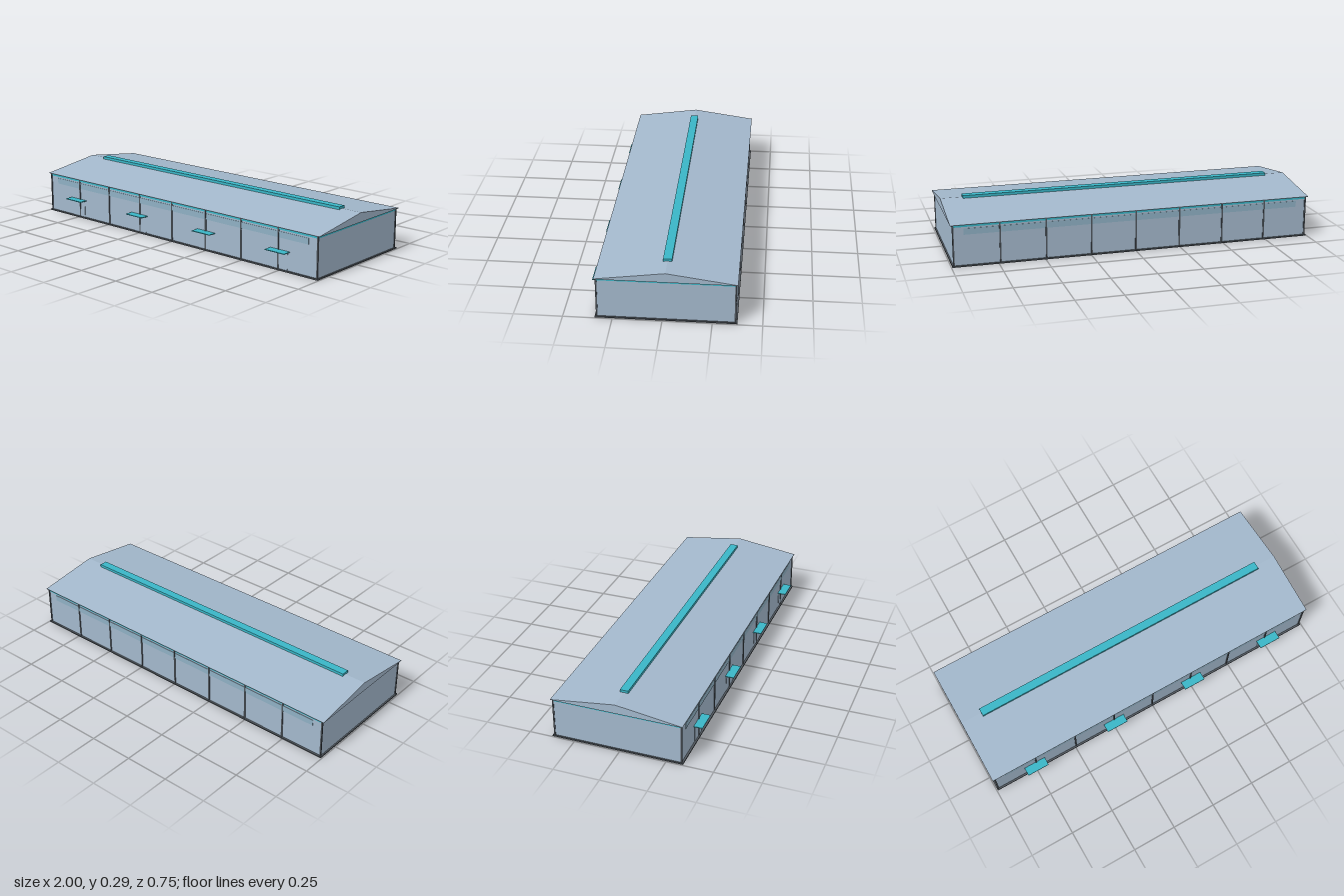
import * as THREE from 'three';

const material = (name, color) => {
  const m = new THREE.MeshStandardMaterial({ color });
  m.name = name;
  return m;
};

export function createModel() {
  const cladding = material('pale blue cladding', 0xa3b8cc);
  const teal = material('teal trim', 0x3ab5c6);
  const glass = material('tinted glazing', 0x8fb0c3);
  const steel = material('dark steel', 0x50575e);

  const model = new THREE.Group();
  model.name = 'longHall';
  const midZ = -0.018; // hall axis, set back to leave room for the canopies
  const halfX = 0.987, halfZ = 0.346;
  const eaveY = 0.226, ridgeY = 0.277;

  // Box given by its centre in x and z and its vertical range
  const box = (name, mat, w, d, y0, y1, x, z) => {
    const mesh = new THREE.Mesh(new THREE.BoxGeometry(w, y1 - y0, d), mat);
    mesh.name = name;
    mesh.position.set(x, (y0 + y1) / 2, z);
    model.add(mesh);
  };

  // Plinth and hall body
  box('plinth', steel, 1.99, 0.713, 0, 0.007, 0, midZ);
  box('walls', cladding, halfX * 2, halfZ * 2, 0.007, eaveY, 0, midZ);

  // Teal band below the eaves, on all four sides
  box('eaveTrim', teal, halfX * 2 + 0.004, halfZ * 2 + 0.004, 0.214, 0.2255, 0, midZ);

  // Gabled roof, extruded along x
  const gable = new THREE.Shape();
  gable.moveTo(-0.356, 0);
  gable.lineTo(0.356, 0);
  gable.lineTo(0.356, 0.002);
  gable.lineTo(0, ridgeY - eaveY);
  gable.lineTo(-0.356, 0.002);
  const roofGeometry = new THREE.ExtrudeGeometry(gable, { depth: 2, bevelEnabled: false });
  roofGeometry.translate(0, 0, -1);
  roofGeometry.rotateY(Math.PI / 2);
  const roof = new THREE.Mesh(roofGeometry, cladding);
  roof.name = 'roof';
  roof.position.set(0, eaveY, midZ);
  model.add(roof);

  // Ridge vent
  box('ridgeVent', teal, 1.76, 0.045, 0.272, 0.289, 0, midZ);

  // Long window strips and posts on both long sides
  for (const side of [1, -1]) {
    const z = midZ + side * halfZ;
    box('windowStrip', glass, 1.86, 0.004, 0.172, 0.205, 0, z);
    for (let i = -4; i <= 4; i++) {
      box('post', steel, 0.008, 0.008, 0.007, eaveY, i * 0.2465, z);
    }
  }

  // Doors with flat canopies along the front
  for (const x of [-0.75, -0.25, 0.25, 0.75]) {
    box('door', cladding, 0.1, 0.004, 0.007, 0.1, x, midZ + halfZ);
    box('canopy', teal, 0.125, 0.047, 0.105, 0.109, x, 0.3515);
  }

  return model;
}
